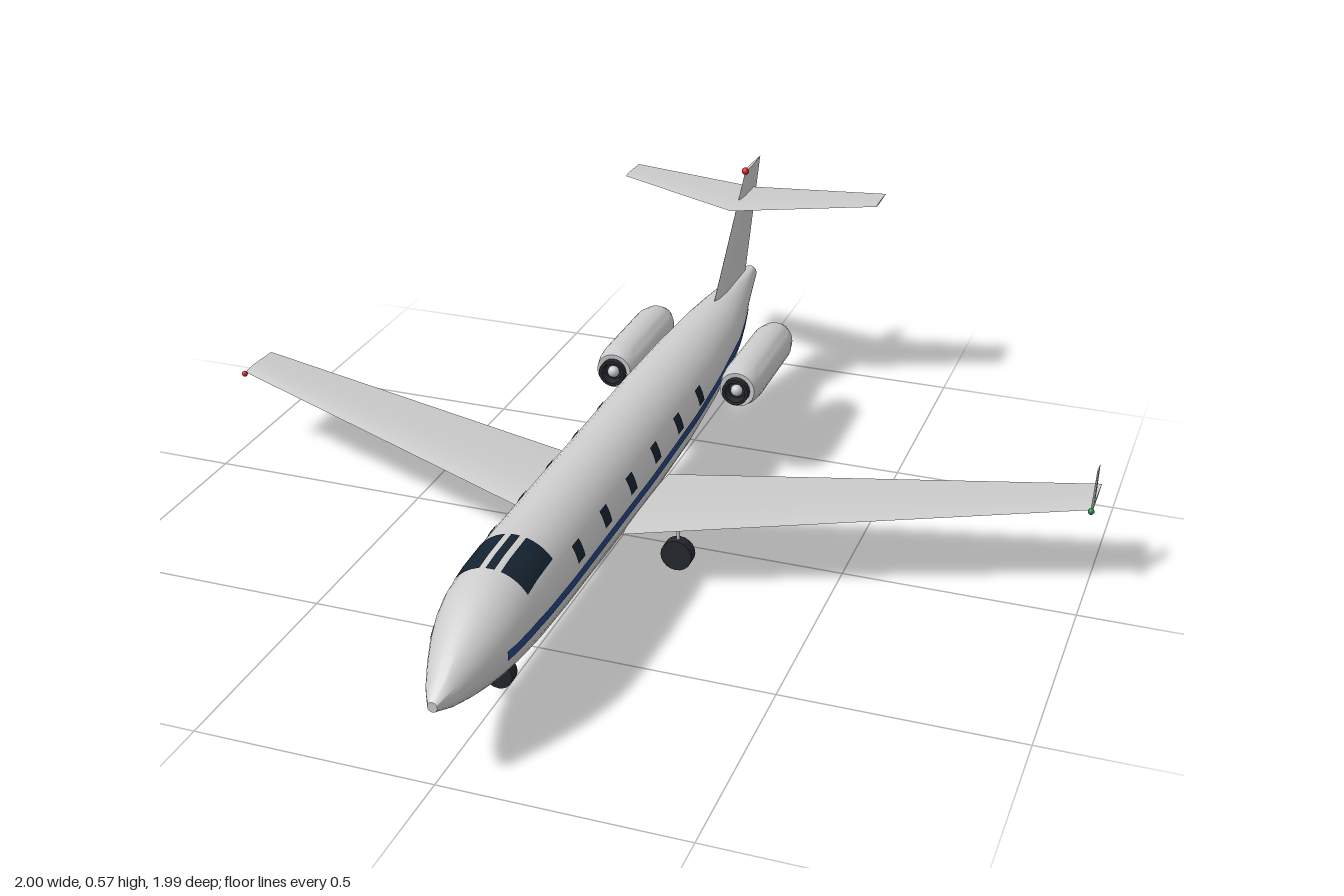
import * as THREE from 'three';
import { toCreasedNormals } from 'three/addons/utils/BufferGeometryUtils.js';

const mat = (color, side = THREE.FrontSide) => new THREE.MeshStandardMaterial({ color, side });
const body = mat(0xcccccc);
const glass = mat(0x152330, THREE.DoubleSide);
const blue = mat(0x24447f, THREE.DoubleSide);
const dark = mat(0x24272c);
const red = mat(0xcc2222);
const green = mat(0x118844);

// Fuselage stations: z, top y, bottom y, half width
const stations = [
  [0.995, 0.176, 0.155, 0.01], [0.95, 0.205, 0.137, 0.034], [0.9, 0.236, 0.124, 0.054],
  [0.85, 0.263, 0.115, 0.071], [0.8, 0.286, 0.109, 0.084], [0.75, 0.301, 0.105, 0.092],
  [0.68, 0.309, 0.1, 0.097], [0.55, 0.313, 0.096, 0.1], [0.3, 0.316, 0.092, 0.1],
  [0, 0.317, 0.09, 0.1], [-0.2, 0.316, 0.099, 0.099], [-0.4, 0.314, 0.119, 0.092],
  [-0.6, 0.31, 0.15, 0.077], [-0.7, 0.307, 0.18, 0.06], [-0.8, 0.302, 0.217, 0.04],
  [-0.93, 0.292, 0.255, 0.017],
];

// Linear interpolation in a table whose first column (z) falls
function sample(table, z) {
  let i = 0;
  while (i < table.length - 2 && z < table[i + 1][0]) i++;
  const a = table[i], b = table[i + 1];
  const t = THREE.MathUtils.clamp((a[0] - z) / (a[0] - b[0]), 0, 1);
  return a.slice(1).map((v, k) => v + (b[k + 1] - v) * t);
}

// Half width of the fuselage at a height, and its upper surface at an x
function skinX(z, y) {
  const [top, bottom, rx] = sample(stations, z);
  const s = (y - (top + bottom) / 2) / ((top - bottom) / 2);
  return rx * Math.sqrt(Math.max(0, 1 - s * s)) + 0.002;
}
function skinY(z, x) {
  const [top, bottom, rx] = sample(stations, z);
  return (top + bottom) / 2 + (top - bottom) / 2 * Math.sqrt(Math.max(0, 1 - (x / rx) ** 2)) + 0.002;
}

// Closed skin through equal-length loops of [x, y, z], capped at both ends
function loft(loops, crease) {
  const n = loops[0].length, pts = loops.flat(), idx = [];
  for (let j = 0; j < loops.length - 1; j++) {
    for (let i = 0; i < n; i++) {
      const a = j * n + i, b = j * n + (i + 1) % n;
      idx.push(a, b, b + n, a, b + n, a + n);
    }
  }
  const last = (loops.length - 1) * n;
  for (let i = 1; i < n - 1; i++) idx.push(0, i + 1, i, last, last + i, last + i + 1);
  // Turn the faces outward if the enclosed volume is negative
  let volume = 0;
  const v = (i) => new THREE.Vector3(...pts[i]);
  for (let i = 0; i < idx.length; i += 3) volume += v(idx[i]).dot(v(idx[i + 1]).cross(v(idx[i + 2])));
  if (volume < 0) idx.reverse();
  const g = new THREE.BufferGeometry();
  g.setAttribute('position', new THREE.Float32BufferAttribute(pts.flat(), 3));
  g.setIndex(idx);
  return toCreasedNormals(g, crease);
}

// Open patch laid on the skin, fn(u, v) -> [x, y, z]
function patch(nu, nv, fn) {
  const g = new THREE.PlaneGeometry(1, 1, nu, nv);
  const p = g.attributes.position;
  for (let i = 0; i < p.count; i++) p.setXYZ(i, ...fn(p.getX(i) + 0.5, p.getY(i) + 0.5));
  g.computeVertexNormals();
  return g;
}

// Aerofoil outline: chord fraction and thickness fraction
const foil = [[0, 0], [0.08, 0.32], [0.3, 0.5], [0.65, 0.3], [1, 0], [0.65, -0.3], [0.3, -0.5], [0.08, -0.32]];
const flatLoop = (x, y, lead, trail, t) => foil.map(([c, h]) => [x, y + h * t, lead + (trail - lead) * c]);
const uprightLoop = (x, y, lead, trail, t) => foil.map(([c, h]) => [x + h * t, y, lead + (trail - lead) * c]);

export function createModel() {
  const model = new THREE.Group();
  const add = (name, geometry, material, x = 0, y = 0, z = 0) => {
    const m = new THREE.Mesh(geometry, material);
    m.name = name;
    m.position.set(x, y, z);
    model.add(m);
    return m;
  };

  // Fuselage
  const hull = stations.map(([z, top, bottom, rx]) => Array.from({ length: 32 }, (_, i) => {
    const a = i / 32 * Math.PI * 2;
    return [Math.cos(a) * rx, (top + bottom) / 2 + Math.sin(a) * (top - bottom) / 2, z];
  }));
  add('fuselage', loft(hull, 0.9), body);

  // Cockpit glass: two wide panes and a narrow centre pane
  for (const [x0, x1] of [[-0.076, -0.022], [-0.009, 0.009], [0.022, 0.076]]) {
    add('cockpitWindow', patch(10, 8, (u, v) => {
      const x = x0 + (x1 - x0) * u, z = 0.6 + 0.125 * v;
      return [x, skinY(z, x), z];
    }), glass);
  }

  // Fin, tailplane and beacon
  add('tailFin', loft([
    uprightLoop(0, 0.27, -0.6, -0.88, 0.018),
    uprightLoop(0, 0.563, -0.867, -0.992, 0.008),
  ], 0.6), body);
  add('tailplane', loft([
    flatLoop(-0.323, 0.5, -0.9, -0.997, 0.005),
    flatLoop(0, 0.5, -0.75, -0.935, 0.012),
    flatLoop(0.323, 0.5, -0.9, -0.997, 0.005),
  ], 0.4), body);
  add('beacon', new THREE.SphereGeometry(0.009, 12, 8), red, 0, 0.563, -0.867);

  // Winglet, on the left wing only
  add('winglet', loft([
    uprightLoop(0.995, 0.185, -0.105, -0.17, 0.005),
    uprightLoop(0.995, 0.26, -0.15, -0.195, 0.003),
  ], 0.6), body);

  const stripeLine = [[0.83, 0.192], [0.74, 0.202], [0.1, 0.202], [-0.25, 0.212], [-0.6, 0.232], [-0.75, 0.245]];
  const nacelle = [[0, -0.68], [0.03, -0.68], [0.042, -0.655], [0.049, -0.62], [0.05, -0.4],
    [0.047, -0.37], [0.041, -0.345], [0.03, -0.345], [0, -0.36]];
  const intake = [[0.02, -0.37], [0.031, -0.37], [0.031, -0.328], [0.024, -0.328], [0.02, -0.345], [0, -0.345]];
  const lathe = (pts) => toCreasedNormals(
    new THREE.LatheGeometry(pts.map(([r, z]) => new THREE.Vector2(r, z)), 28).rotateX(Math.PI / 2), 0.6);
  const wheel = (r) => toCreasedNormals(new THREE.CylinderGeometry(r, r, 0.027, 20).rotateX(Math.PI / 2), 0.6);

  for (const s of [1, -1]) {
    const side = s > 0 ? 'left' : 'right';

    // Wing with tip light
    add(side + 'Wing', loft([
      flatLoop(s * 0.085, 0.14, 0.235, -0.055, 0.03),
      flatLoop(s * 0.997, 0.187, -0.12, -0.245, 0.008),
    ], 0.6), body);
    add(side + 'TipLight', new THREE.SphereGeometry(0.007, 10, 8), s > 0 ? green : red, s * 0.995, 0.187, -0.112);

    // Side stripe and cabin windows
    add(side + 'Stripe', patch(60, 3, (u, v) => {
      const z = 0.83 - 1.58 * u;
      const y = sample(stripeLine, z)[0] + (v - 0.5) * 0.02;
      return [s * skinX(z, y), y, z];
    }), blue);
    for (let i = 0; i < 6; i++) {
      const z0 = 0.508 - i * 0.151;
      add(side + 'CabinWindow', patch(2, 4, (u, v) => {
        const z = z0 + (u - 0.5) * 0.036, y = 0.247 + (v - 0.5) * 0.036;
        return [s * (skinX(z, y) + 0.001), y, z];
      }), glass);
    }

    // Engine nacelle, intake and hub
    add(side + 'Engine', lathe(nacelle), body, s * 0.15, 0.227, 0);
    add(side + 'Intake', lathe(intake), dark, s * 0.15, 0.227, 0);
    add(side + 'IntakeHub', new THREE.SphereGeometry(0.014, 14, 10), body, s * 0.15, 0.227, -0.343);

    // Main gear
    add(side + 'MainWheel', wheel(0.035), dark, s * 0.16, 0.036, 0.096);
    add(side + 'MainStrut', new THREE.CylinderGeometry(0.004, 0.004, 0.09, 8), body, s * 0.16, 0.1, 0.096);
  }

  // Nose gear
  add('noseWheel', wheel(0.03), dark, 0, 0.058, 0.69);
  add('noseStrut', new THREE.CylinderGeometry(0.004, 0.004, 0.05, 8), body, 0, 0.095, 0.69);

  return model;
}
